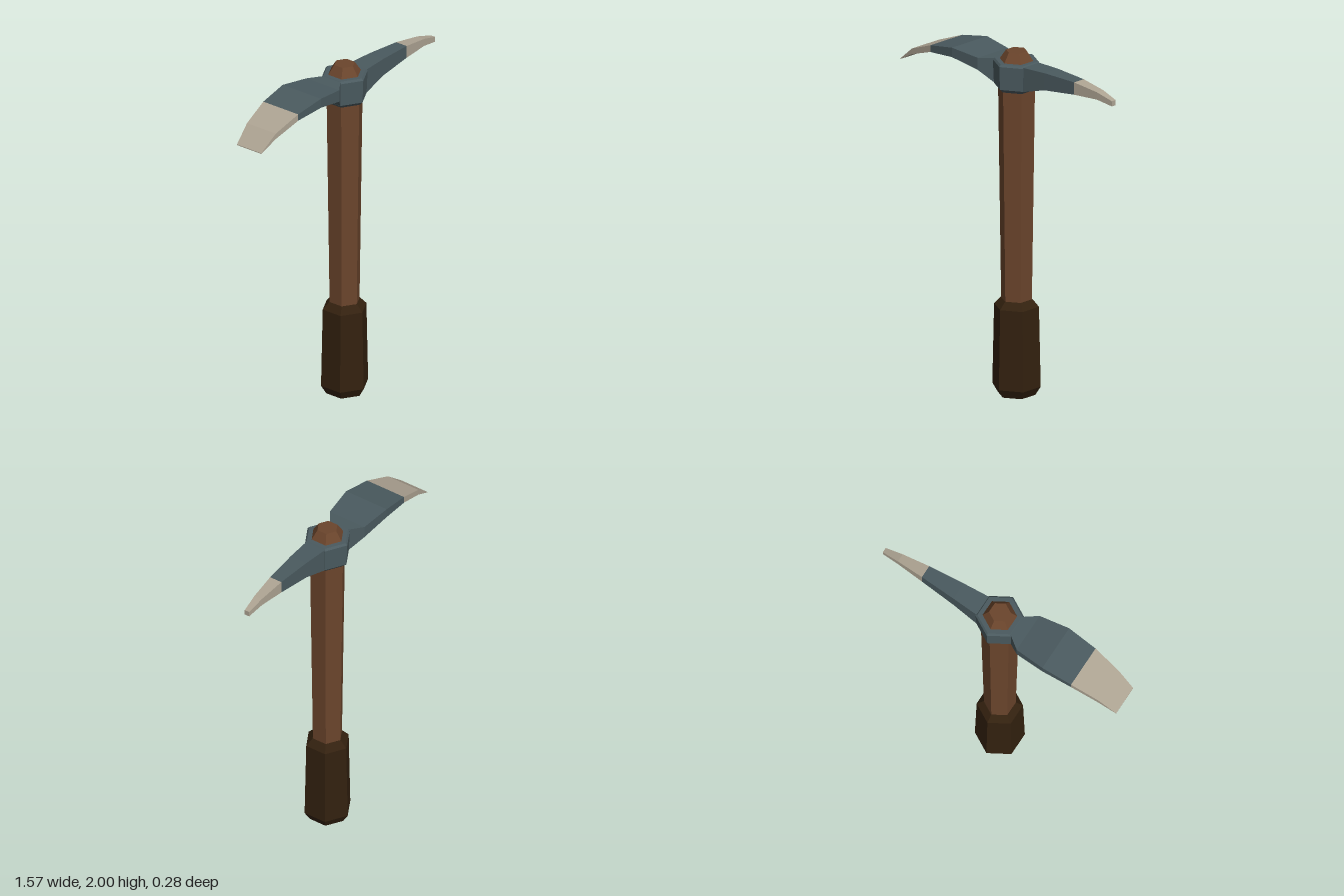
import * as THREE from 'three';

function material(name, color) {
  const m = new THREE.MeshStandardMaterial({ color });
  m.name = name;
  m.flatShading = true;
  return m;
}

// Six-sided turned part from [radius, y] points, listed bottom to top
function hexPart(name, points, mat) {
  const profile = points.map(([r, y]) => new THREE.Vector2(r, y));
  const mesh = new THREE.Mesh(new THREE.LatheGeometry(profile, 6), mat);
  mesh.name = name;
  mesh.position.x = 0.03;
  return mesh;
}

// Four-sided bar through sections [x, top y, bottom y, half width], x increasing
function bar(name, sections, mat) {
  const pos = [];
  const rings = sections.map(([x, t, b, w]) => [[x, t, w], [x, t, -w], [x, b, -w], [x, b, w]]);
  const quad = (a, b, c, d) => pos.push(...a, ...b, ...c, ...a, ...c, ...d);
  for (let i = 0; i < rings.length - 1; i++) {
    const p = rings[i], q = rings[i + 1];
    for (let k = 0; k < 4; k++) {
      const n = (k + 1) % 4;
      quad(p[k], q[k], q[n], p[n]);
    }
  }
  quad(...rings[0]);
  quad(...rings[rings.length - 1].slice().reverse());
  const geo = new THREE.BufferGeometry();
  geo.setAttribute('position', new THREE.Float32BufferAttribute(pos, 3));
  geo.computeVertexNormals();
  const mesh = new THREE.Mesh(geo, mat);
  mesh.name = name;
  return mesh;
}

export function createModel() {
  const wood = material('wood', 0x6b452c);
  const grip = material('dark grip', 0x33210f);
  const steel = material('dark steel', 0x4a5a5f);
  const edge = material('sharpened edge', 0xaea493);
  const model = new THREE.Group();
  model.name = 'pickaxe';

  // Handle
  model.add(hexPart('shaft', [[0, 0.5], [0.087, 0.5], [0.105, 1.78], [0.096, 1.945], [0.06, 2], [0, 2]], wood));
  model.add(hexPart('handGrip', [[0, 0], [0.107, 0], [0.138, 0.05], [0.128, 0.515], [0.09, 0.555], [0, 0.555]], grip));

  // Collar around the handle
  model.add(hexPart('collar', [[0, 1.78], [0.108, 1.78], [0.129, 1.8], [0.135, 1.935], [0.124, 1.946], [0, 1.946]], steel));

  // Pointed arm and its tip
  const pickJoin = [0.515, 1.94, 1.868, 0.038];
  model.add(bar('pickArm', [[0.1, 1.94, 1.8, 0.064], [0.145, 1.94, 1.8, 0.063], [0.3, 1.945, 1.845, 0.053], pickJoin], steel));
  model.add(bar('pickTip', [pickJoin, [0.68, 1.919, 1.876, 0.025], [0.785, 1.89, 1.86, 0.015]], edge));

  // Broad adze arm and its cutting edge
  const adzeJoin = [-0.515, 1.927, 1.888, 0.126];
  model.add(bar('adzeEdge', [[-0.785, 1.776, 1.772, 0.088], [-0.68, 1.863, 1.83, 0.104], adzeJoin], edge));
  model.add(bar('adzeArm', [adzeJoin, [-0.335, 1.96, 1.905, 0.138], [-0.155, 1.94, 1.87, 0.118],
    [-0.082, 1.943, 1.802, 0.064], [-0.04, 1.943, 1.802, 0.064]], steel));

  return model;
}
